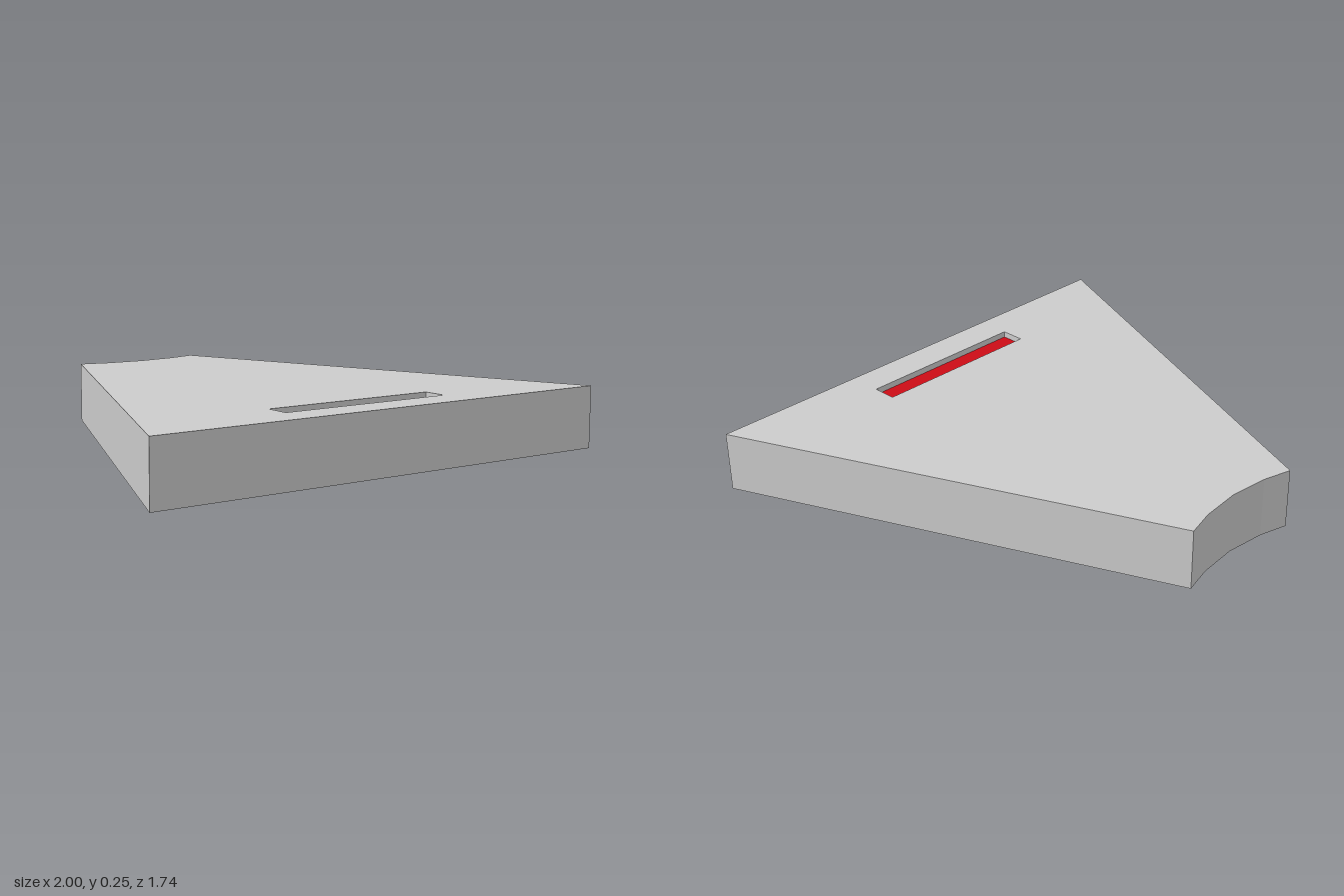
import * as THREE from 'three';

const HEIGHT = 0.245, FLOOR = 0.22;

// Flat horizontal sheet from [x, z] corners, facing up or down
function sheet(points, y, up, hole) {
  const f = up ? -1 : 1;
  const flat = (list) => list.map(([x, z]) => new THREE.Vector2(x, f * z));
  const shape = new THREE.Shape(flat(points));
  if (hole) shape.holes.push(new THREE.Path(flat(hole)));
  return new THREE.ShapeGeometry(shape).rotateX(f * Math.PI / 2).translate(0, y, 0);
}

// Upright flat walls along a closed loop of [x, z] corners
function walls(points, y0, y1) {
  const pos = [];
  points.forEach(([ax, az], i) => {
    const [bx, bz] = points[(i + 1) % points.length];
    pos.push(ax, y0, az, bx, y0, bz, bx, y1, bz, ax, y0, az, bx, y1, bz, ax, y1, az);
  });
  const g = new THREE.BufferGeometry();
  g.setAttribute('position', new THREE.Float32BufferAttribute(pos, 3));
  g.computeVertexNormals();
  return g;
}

export function createModel() {
  const model = new THREE.Group();
  model.name = 'wedgeBlock';
  const grey = new THREE.MeshStandardMaterial({ color: 0xcccccc, flatShading: true });
  const red = new THREE.MeshStandardMaterial({ color: 0xcc0c16 });
  const add = (name, geometry, material) => {
    const mesh = new THREE.Mesh(geometry, material);
    mesh.name = name;
    model.add(mesh);
  };

  // Tapered outline with a shallow faceted hollow at the narrow back end
  const outline = [
    [-1, 0.868], [1, 0.868], [0.28, -0.868], [0.163, -0.837],
    [0, -0.821], [-0.163, -0.837], [-0.28, -0.868],
  ];
  const slot = [[-0.366, 0.73], [0.362, 0.73], [0.362, 0.63], [-0.366, 0.63]];

  // Body
  add('topFace', sheet(outline, HEIGHT, true, slot), grey);
  add('bottomFace', sheet(outline, 0, false), grey);
  add('outerWalls', walls(outline, 0, HEIGHT), grey);

  // Shallow recess with a coloured floor
  add('slotWalls', walls([...slot].reverse(), FLOOR, HEIGHT), grey);
  add('slotFloor', sheet(slot, FLOOR, true), red);
  return model;
}
